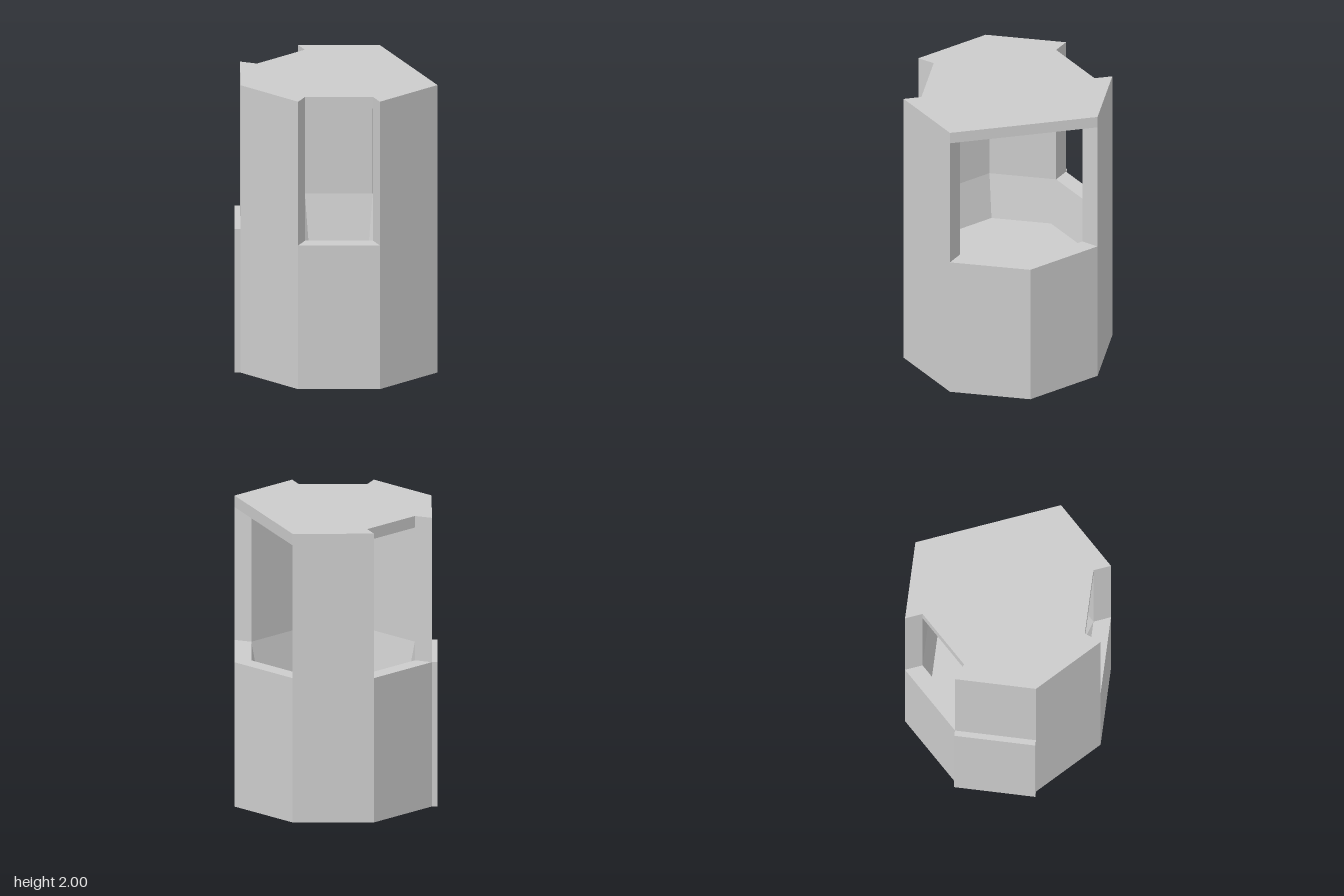
import * as THREE from 'three';

const CX = 0.016;              // axis of the octagon
const OUTER = 0.711, INNER = 0.59, FLOOR_R = 0.527;
const RIM = 1, FLOOR = 0.69, CEILING = 1.92, TOP = 2;

// Octagon corner k as [x, z]; 0 points to +z, 2 to +x
const corner = (k, r) => [CX + r * Math.sin(k * Math.PI / 4), r * Math.cos(k * Math.PI / 4)];

export function createModel() {
  const group = new THREE.Group();
  const material = new THREE.MeshStandardMaterial({ color: 0xcccccc, flatShading: true });

  const add = (name, geometry) => {
    const mesh = new THREE.Mesh(geometry, material);
    mesh.name = name;
    group.add(mesh);
    return mesh;
  };

  // Upright prism over an [x, z] outline
  const prism = (name, outline, y0, y1) => {
    const shape = new THREE.Shape(outline.map(([x, z]) => new THREE.Vector2(x, -z)));
    const geometry = new THREE.ExtrudeGeometry(shape, { depth: y1 - y0, bevelEnabled: false });
    geometry.rotateX(-Math.PI / 2).translate(0, y0, 0);
    return add(name, geometry);
  };

  // Wall following the octagon through the given corners, mitred at both ends
  const wall = (name, ks) => prism(name, [
    ...ks.map(k => corner(k, OUTER)),
    ...[...ks].reverse().map(k => corner(k, INNER)),
  ], RIM, CEILING);

  // Octagonal base with a tapered basin
  const profile = [
    [0, 0], [OUTER, 0], [OUTER, RIM], [INNER, RIM], [FLOOR_R, FLOOR], [0, FLOOR],
  ].map(p => new THREE.Vector2(...p));
  add('base', new THREE.LatheGeometry(profile, 8)).position.x = CX;

  // Upper walls, leaving openings between them
  wall('frontWall', [0, 1]);
  wall('backWall', [3, 4]);
  wall('sideWall', [5, 6, 7]);

  // Roof slab, set back over the front and back openings
  prism('roof', [
    corner(0, OUTER), corner(1, OUTER), corner(3, OUTER), corner(4, OUTER),
    corner(4, INNER), corner(5, INNER), corner(5, OUTER), corner(6, OUTER),
    corner(7, OUTER), corner(7, INNER), corner(0, INNER),
  ], CEILING, TOP);

  // Thin panel on the outside of one lower face
  const a = corner(5, OUTER), b = corner(6, OUTER);
  const angle = 5.5 * Math.PI / 4, t = 0.038;
  const out = ([x, z]) => [x + t * Math.sin(angle), z + t * Math.cos(angle)];
  prism('outerPanel', [a, b, out(b), out(a)], 0, RIM);

  return group;
}
